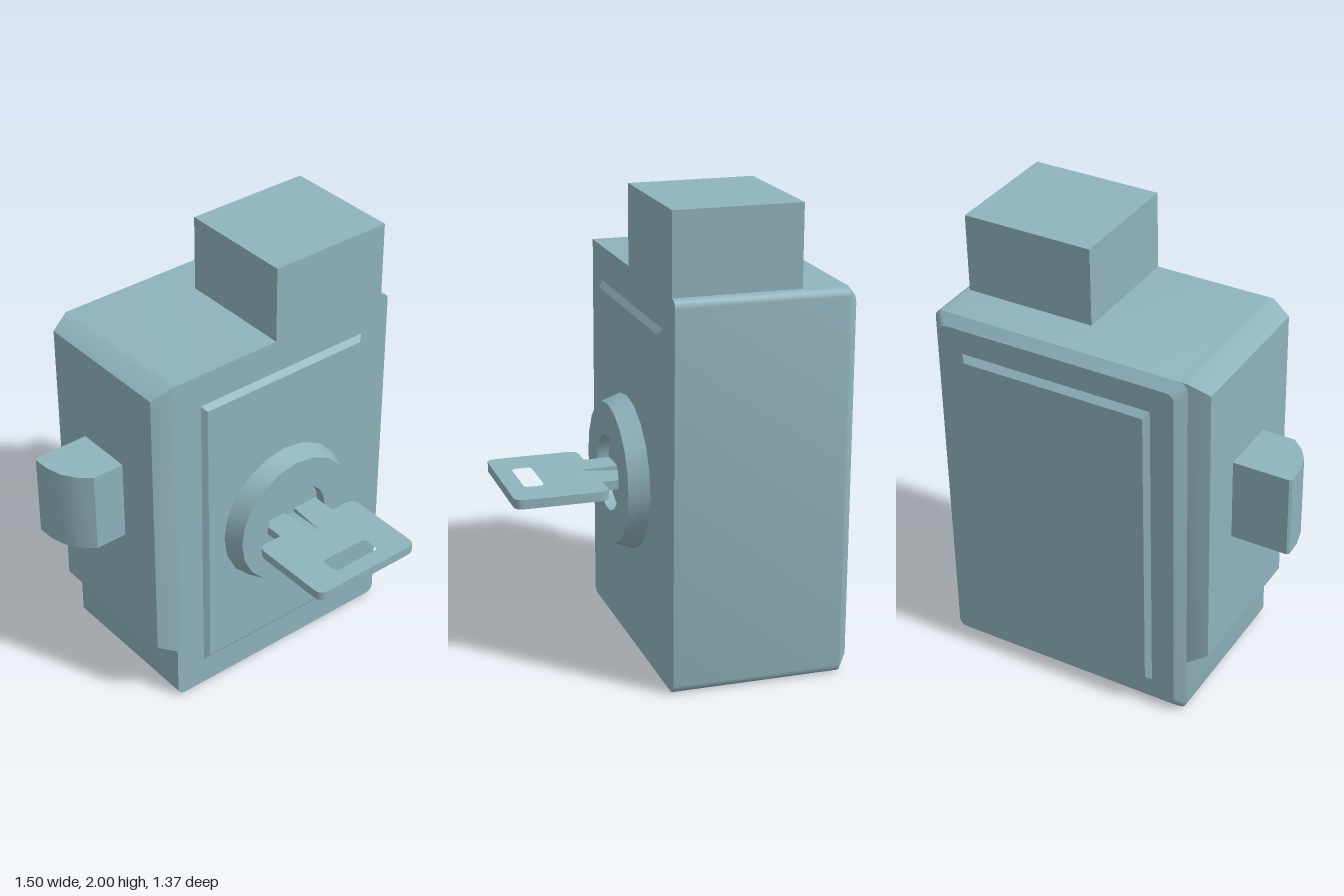
import * as THREE from 'three';
import { toCreasedNormals } from 'three/addons/utils/BufferGeometryUtils.js';

const material = new THREE.MeshStandardMaterial({ color: 0x8fb3bb });

// Counter-clockwise rectangle outline at depth z, with optional rounded corners
function rectRing(x0, x1, y0, y1, z, r = 0, steps = 4) {
  const corners = [[x1 - r, y0 + r], [x1 - r, y1 - r], [x0 + r, y1 - r], [x0 + r, y0 + r]];
  const ring = [];
  corners.forEach(([cx, cy], i) => {
    const n = r ? steps : 0;
    for (let k = 0; k <= n; k++) {
      const a = (i - 1 + (n ? k / n : 0)) * Math.PI / 2;
      ring.push([cx + r * Math.cos(a), cy + r * Math.sin(a), z]);
    }
  });
  return ring;
}

// Closed solid through outlines ordered from low z to high z
function loft(rings) {
  const pos = [];
  const tri = (a, b, c) => pos.push(...a, ...b, ...c);
  const n = rings[0].length;
  for (let j = 0; j < rings.length - 1; j++) {
    const lo = rings[j], hi = rings[j + 1];
    for (let i = 0; i < n; i++) {
      const k = (i + 1) % n;
      tri(lo[i], lo[k], hi[k]);
      tri(lo[i], hi[k], hi[i]);
    }
  }
  const first = rings[0], last = rings[rings.length - 1];
  for (let i = 1; i < n - 1; i++) {
    tri(first[0], first[i + 1], first[i]);
    tri(last[0], last[i], last[i + 1]);
  }
  const geometry = new THREE.BufferGeometry();
  geometry.setAttribute('position', new THREE.Float32BufferAttribute(pos, 3));
  return geometry;
}

// Trace [x, z, cornerRadius] points into a path
function trace(path, points) {
  const v = points.map(([x, z]) => new THREE.Vector2(x, -z));
  points.forEach(([, , r = 0], i) => {
    const p = v[i], n = points.length;
    const toward = (q) => p.clone().add(q.clone().sub(p).setLength(r));
    const a = r ? toward(v[(i + n - 1) % n]) : p;
    if (i === 0) path.moveTo(a.x, a.y);
    else path.lineTo(a.x, a.y);
    if (r) {
      const b = toward(v[(i + 1) % n]);
      path.quadraticCurveTo(p.x, p.y, b.x, b.y);
    }
  });
  path.closePath();
  return path;
}

// Raise a floor outline from y0 to y1
function extrudeUp(points, y0, y1, holes = []) {
  const shape = trace(new THREE.Shape(), points);
  shape.holes = holes.map((h) => trace(new THREE.Path(), h));
  const geometry = new THREE.ExtrudeGeometry(shape, { depth: y1 - y0, bevelEnabled: false, curveSegments: 4 });
  return geometry.rotateX(-Math.PI / 2).translate(0, y0, 0);
}

function part(name, geometry) {
  const mesh = new THREE.Mesh(toCreasedNormals(geometry, 0.5), material);
  mesh.name = name;
  return mesh;
}

export function createModel() {
  const model = new THREE.Group();
  model.name = 'keyLock';

  // Case with a chamfered back edge
  model.add(part('caseBody', loft([
    rectRing(-0.37, 0.71, 0.04, 1.615, -0.66, 0.035),
    rectRing(-0.41, 0.75, 0, 1.655, -0.62, 0.035),
    rectRing(-0.41, 0.75, 0, 1.655, 0.11, 0.035),
  ])));

  // Tapered plate on the bolt side
  model.add(part('boltSidePlate', loft([
    rectRing(-0.62, 0.11, 0.26, 1.655, 0.37),
    rectRing(-0.62, 0.11, 0.26, 1.655, 0.41),
    rectRing(-0.59, 0.08, 0.31, 1.61, 0.495),
  ]).rotateY(-Math.PI / 2)));

  // Square block on top
  const neck = new THREE.BoxGeometry(0.58, 0.345, 0.54).translate(0.42, 1.8275, -0.16);
  model.add(part('topBlock', neck));

  // Raised bevelled panels, front and back
  const panelBase = (z) => rectRing(-0.265, 0.605, 0.135, 1.505, z);
  const panelFace = (z) => rectRing(-0.245, 0.58, 0.16, 1.48, z);
  model.add(part('frontPanel', loft([panelBase(0.11), panelFace(0.13)])));
  model.add(part('backPanel', loft([panelFace(-0.685), panelBase(-0.66)])));

  // Latch bolt with a curved striking face
  model.add(part('latchBolt', extrudeUp([
    [-0.47, -0.395], [-0.745, -0.395], [-0.755, -0.385], [-0.752, -0.31],
    [-0.733, -0.235], [-0.692, -0.175], [-0.64, -0.13], [-0.47, -0.13],
  ], 0.81, 1.18)));

  // Lock collar with the recessed cylinder face
  const collar = [[0.333, 0.125], [0.302, 0.215], [0.163, 0.215], [0.163, 0.165], [0, 0.165]]
    .map(([r, h]) => new THREE.Vector2(r, h));
  model.add(part('lockCollar',
    new THREE.LatheGeometry(collar, 20).rotateX(Math.PI / 2).translate(0.17, 0.78, 0)));

  // Key: bow with a slot, and a shank with a tapering groove
  const key = new THREE.Group();
  key.name = 'key';
  const bottom = 0.755, top = 0.795, tip = 0.15, grooveEnd = 0.34;
  key.add(part('keyBlade', extrudeUp([
    [0.025, tip], [0.14, tip], [0.155, grooveEnd], [0.185, grooveEnd], [0.2, tip], [0.32, tip],
    [0.32, 0.28], [0.44, 0.28, 0.04], [0.44, 0.68, 0.04], [-0.095, 0.68, 0.04],
    [-0.095, 0.28, 0.04], [0.025, 0.28],
  ], bottom, top, [
    [[0.055, 0.52, 0.02], [0.29, 0.52, 0.02], [0.29, 0.605, 0.02], [0.055, 0.605, 0.02]],
  ])));

  // Groove floor rising to the blade surface
  const floor = new THREE.BoxGeometry(1, 1, 1);
  const p = floor.attributes.position;
  for (let i = 0; i < p.count; i++) {
    const end = p.getZ(i) > 0;
    const height = end ? top : 0.77;
    p.setXYZ(i, 0.17 + p.getX(i) * (end ? 0.03 : 0.06),
      p.getY(i) > 0 ? height : bottom, end ? grooveEnd : tip);
  }
  key.add(part('keyGrooveFloor', floor));
  model.add(key);

  return model;
}
